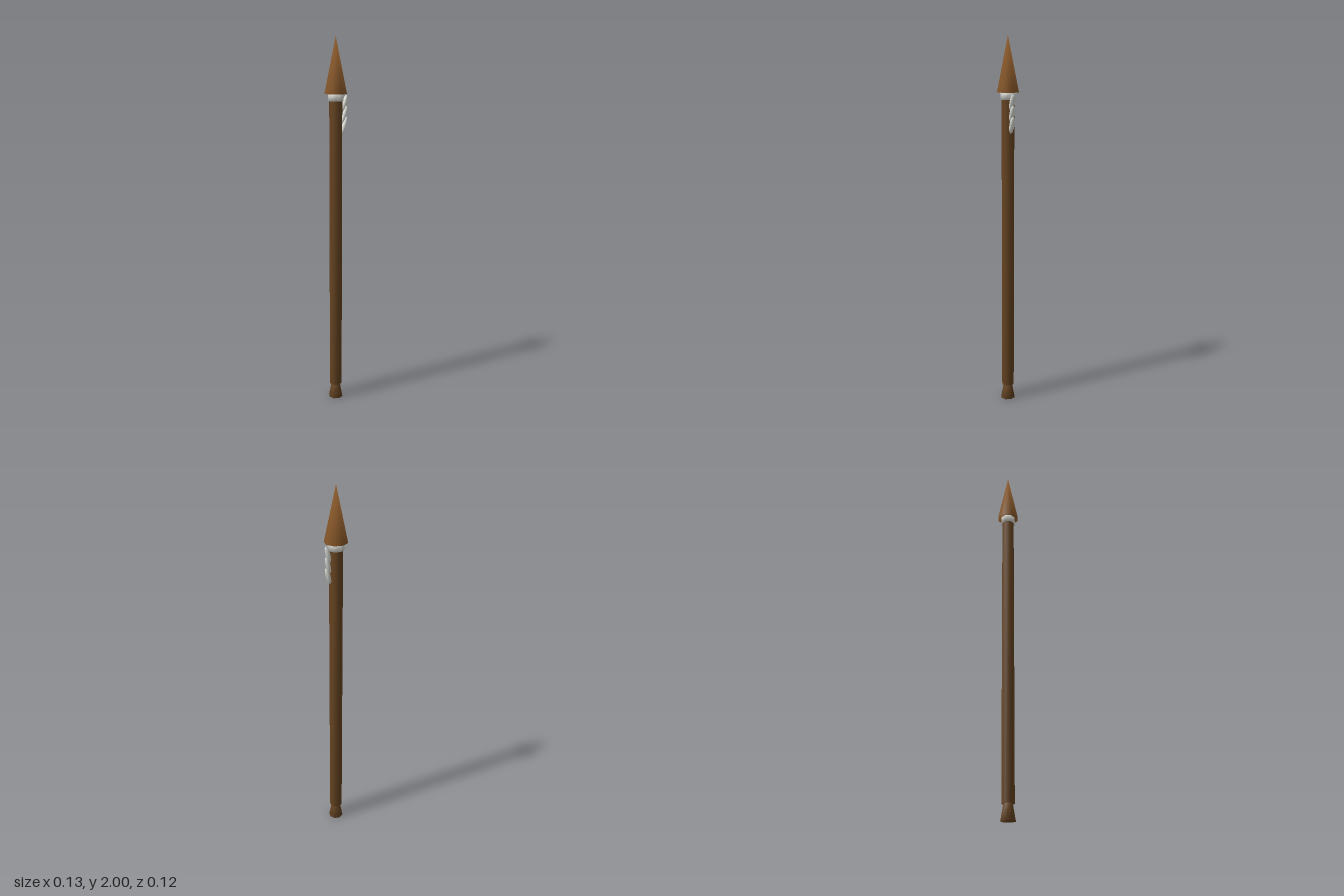
import * as THREE from 'three';
import { mergeVertices } from 'three/addons/utils/BufferGeometryUtils.js';

const SHIFT = -0.003; // the shaft axis sits slightly off centre to balance the feathers

function material(name, color) {
  const m = new THREE.MeshStandardMaterial({ color });
  m.name = name;
  return m;
}

// Eight-sided closed cylinder or cone with normals blended across every edge
function turned(name, rTop, rBottom, y0, y1, mat) {
  let geo = new THREE.CylinderGeometry(rTop, rBottom, y1 - y0, 8);
  geo.deleteAttribute('uv');
  geo.deleteAttribute('normal');
  geo = mergeVertices(geo, 1e-5);
  geo.computeVertexNormals();
  const mesh = new THREE.Mesh(geo, mat);
  mesh.name = name;
  mesh.position.set(SHIFT, (y0 + y1) / 2, 0);
  return mesh;
}

export function createModel() {
  const darkWood = material('dark wood', 0x654321);
  const tipBrown = material('tip brown', 0x8b5a2b);
  const paleGrey = material('pale grey', 0xdcdcd6);

  const group = new THREE.Group();
  group.name = 'spear';

  group.add(
    turned('foot', 0.024, 0.04, 0, 0.085, darkWood),
    turned('shaft', 0.035, 0.035, 0.083, 1.71, darkWood),
    turned('collar', 0.042, 0.042, 1.68, 1.722, paleGrey),
    turned('tip', 0, 0.06, 1.717, 2, tipBrown)
  );

  // Three overlapping feathers hanging below the collar, leaning outward at the top
  const feathers = new THREE.Group();
  feathers.name = 'feathers';
  for (let i = 0; i < 3; i++) {
    const feather = new THREE.Mesh(new THREE.SphereGeometry(1, 10, 8), paleGrey);
    feather.name = 'feather';
    feather.scale.set(0.011, 0.046, 0.014);
    feather.rotation.z = -0.3;
    feather.position.set(0.046, 1.665 - i * 0.056, 0);
    feathers.add(feather);
  }
  group.add(feathers);

  return group;
}
